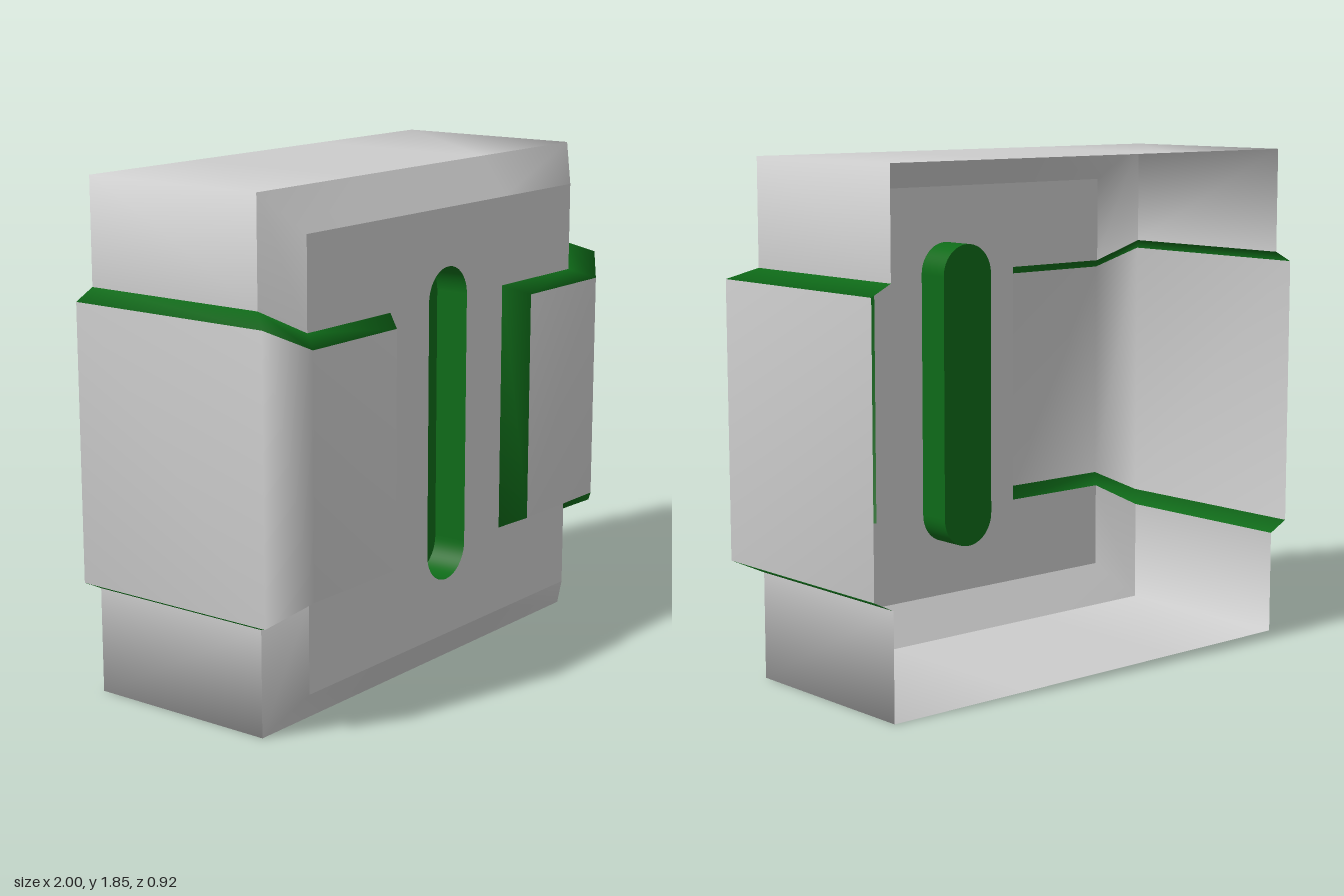
import * as THREE from 'three';

const GREY = 0xcccccc, GREEN = 0x0e6a18;
const H = 1.85, FRONT = 0.38, RIM = 0.28, BACK = -0.46;

function mat(color) {
  return new THREE.MeshStandardMaterial({ color, side: THREE.DoubleSide });
}

function mesh(name, geometry, color) {
  const m = new THREE.Mesh(geometry, mat(color));
  m.name = name;
  return m;
}

// Indices of a quad strip between two equally long rows of vertex numbers
function stripIndex(rowA, rowB, flip) {
  const index = [];
  for (let j = 0; j < rowA.length - 1; j++) {
    const a = rowA[j], b = rowA[j + 1], c = rowB[j], d = rowB[j + 1];
    if (flip) index.push(a, b, c, b, d, c);
    else index.push(a, c, b, b, c, d);
  }
  return index;
}

function smooth(points, index) {
  const g = new THREE.BufferGeometry();
  g.setAttribute('position', new THREE.Float32BufferAttribute(points.flat(), 3));
  g.setIndex(index);
  g.computeVertexNormals();
  return g;
}

function strip(a, b, flip) {
  const n = a.length;
  const rowA = a.map((_, i) => i), rowB = b.map((_, i) => n + i);
  return smooth([...a, ...b], stripIndex(rowA, rowB, flip));
}

function capsule(Type, r, low, high) {
  const s = new Type();
  s.moveTo(r, low + r);
  s.lineTo(r, high - r);
  s.absarc(0, high - r, r, 0, Math.PI, false);
  s.lineTo(-r, low + r);
  s.absarc(0, low + r, r, Math.PI, Math.PI * 2, false);
  return s;
}

// Upper or lower half of the casing: bevelled rim and walls, open at the back
function casingHalf(name, flip) {
  const mirrorX = half => [...half, ...half.slice().reverse().map(([x, y]) => [-x, y])];
  const place = (half, z) => mirrorX(half).map(([x, y]) => [x, flip ? H - y : y, z]);
  const inner = [[0.79, 1.385], [0.79, 1.71], [0.35, 1.71]];
  const outer = [[0.92, 1.465], [0.92, H], [0.35, H]];
  const group = new THREE.Group();
  group.name = name;
  group.add(
    mesh('rimBevel', strip(place(inner, FRONT), place(outer, RIM), flip), GREY),
    mesh('walls', strip(place(outer, RIM), place(outer, BACK), flip), GREY));
  return group;
}

// Flat front with two side notches and a slot opening
function frontPlate() {
  const half = [[0.79, 0.14], [0.79, 0.465], [0.34, 0.465], [0.34, 1.385], [0.79, 1.385], [0.79, 1.71]];
  const outline = [...half, ...half.slice().reverse().map(([x, y]) => [-x, y])];
  const shape = new THREE.Shape(outline.map(([x, y]) => new THREE.Vector2(x, y)));
  shape.holes.push(capsule(THREE.Path, 0.115, 0.35, 1.5));
  const g = new THREE.ShapeGeometry(shape, 16);
  g.translate(0, 0, FRONT);
  return mesh('frontPlate', g, GREY);
}

// Recessed slot: wall and floor
function slot() {
  const depth = 0.13;
  const shape = capsule(THREE.Shape, 0.115, 0.35, 1.5);
  const pts = shape.getPoints(16);
  const ring = z => [...pts, pts[0]].map(p => [p.x, p.y, z]);
  const floor = new THREE.ShapeGeometry(shape, 16);
  floor.translate(0, 0, FRONT - depth);
  const group = new THREE.Group();
  group.name = 'slot';
  group.add(
    mesh('slotWall', strip(ring(FRONT), ring(FRONT - depth), true), GREEN),
    mesh('slotFloor', floor, GREEN));
  return group;
}

// Raised pad wrapping round a side, with a green bevelled border
function sidePad(name, side) {
  // x, lower y, z from the back edge round to the inner front edge
  const base = [[0.92, 0.385, BACK], [0.92, 0.385, RIM], [0.79, 0.465, FRONT], [0.34, 0.465, FRONT]];
  const top = [[1, 0.425, BACK], [1, 0.425, 0.365], [0.86, 0.5, 0.46], [0.41, 0.5, 0.46]];
  const loop = pts => [...pts, ...pts.slice().reverse().map(([x, y, z]) => [x, H - y, z])]
    .map(([x, y, z]) => [x * side, y, z]);
  const flip = side < 0;
  const border = stripIndex([0, 1, 2, 3, 4, 5, 6, 7], [8, 9, 10, 11, 12, 13, 14, 15], !flip);
  const panel = stripIndex([8, 9, 10, 11], [15, 14, 13, 12], !flip);
  // Normals are shared between border and panel so the pad shades softly
  const whole = smooth([...loop(base), ...loop(top)], [...border, ...panel]);
  const group = new THREE.Group();
  group.name = name;
  group.add(
    mesh('padBorder', whole.clone().setIndex(border), GREEN),
    mesh('padPanel', whole.clone().setIndex(panel), GREY));
  return group;
}

export function createModel() {
  const model = new THREE.Group();
  model.name = 'casing';
  model.add(
    casingHalf('upperCasing', false),
    casingHalf('lowerCasing', true),
    frontPlate(),
    slot(),
    sidePad('leftPad', 1),
    sidePad('rightPad', -1));
  return model;
}
